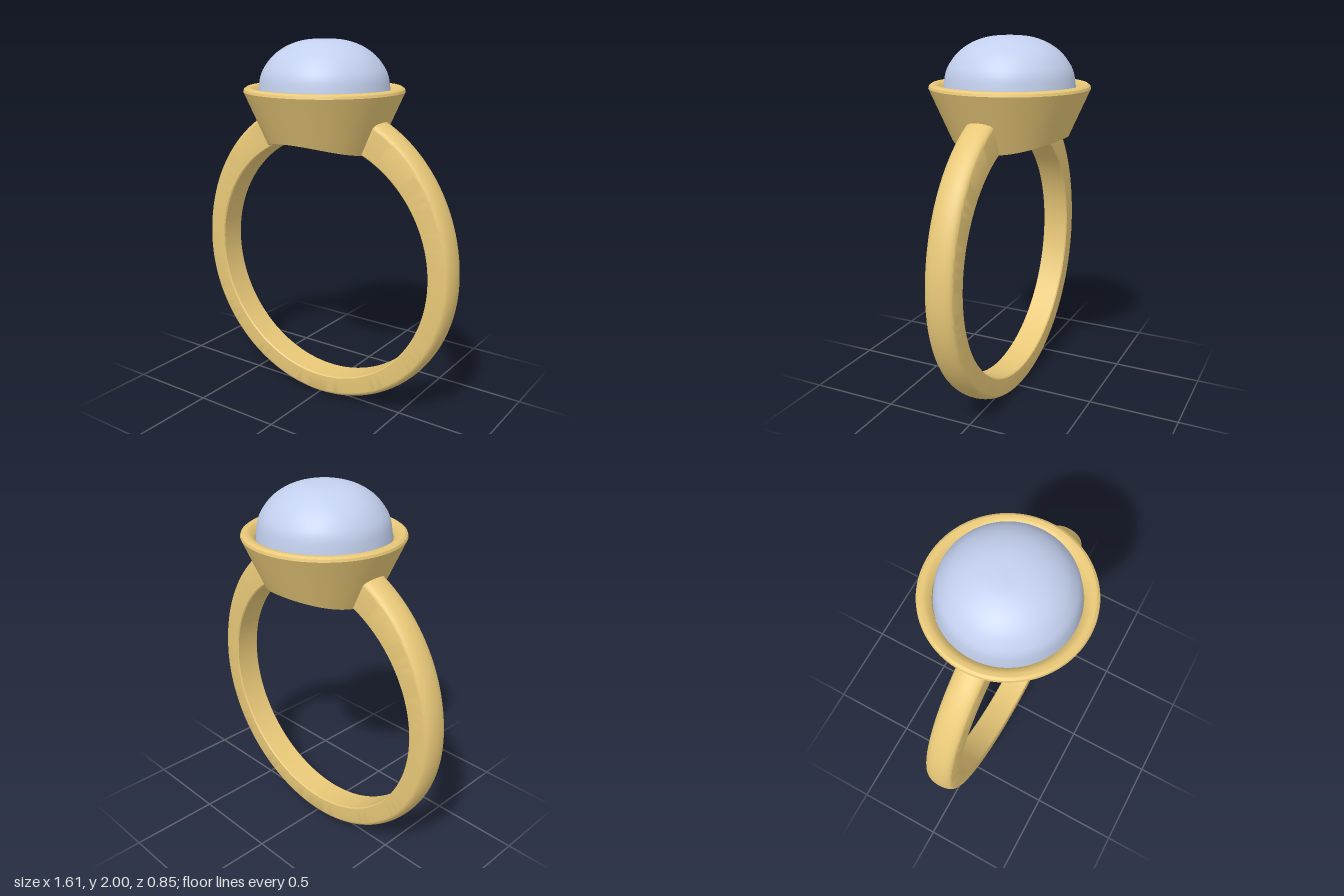
import * as THREE from 'three';
import { toCreasedNormals } from 'three/addons/utils/BufferGeometryUtils.js';

const CENTRE = 0.81, BORE = 0.68, HALF_WIDTH = 0.077;
const gold = new THREE.MeshStandardMaterial({ color: 0xe8c878, side: THREE.DoubleSide });
const blue = new THREE.MeshStandardMaterial({ color: 0xc3d0ee });

function part(name, geometry, material) {
  const mesh = new THREE.Mesh(geometry, material);
  mesh.name = name;
  return mesh;
}

// Band: flat bore, domed outside, thickening towards the setting
function bandGeometry() {
  const steps = 160, dome = 16, gap = 0.39;
  const start = Math.PI / 2 + gap, sweep = 2 * Math.PI - 2 * gap;
  const positions = [], index = [];
  let count = 0;
  for (let i = 0; i <= steps; i++) {
    const t = start + (sweep * i) / steps;
    const lift = Math.max(0, Math.sin(t));
    const outer = 0.807 + 0.073 * lift * lift;
    const section = [];
    for (let k = 0; k <= dome; k++) {
      const a = (Math.PI * k) / dome;
      section.push([HALF_WIDTH * Math.cos(a), outer - 0.035 + 0.035 * Math.sin(a)]);
    }
    section.push([-HALF_WIDTH, BORE + 0.006], [-HALF_WIDTH + 0.006, BORE],
      [HALF_WIDTH - 0.006, BORE], [HALF_WIDTH, BORE + 0.006]);
    count = section.length;
    for (const [z, r] of section) positions.push(r * Math.cos(t), CENTRE + r * Math.sin(t), z);
  }
  for (let i = 0; i < steps; i++) {
    for (let j = 0; j < count; j++) {
      const a = i * count + j, b = i * count + ((j + 1) % count);
      index.push(a, b, a + count, b, b + count, a + count);
    }
  }
  const geometry = new THREE.BufferGeometry();
  geometry.setAttribute('position', new THREE.Float32BufferAttribute(positions, 3));
  geometry.setIndex(index);
  return toCreasedNormals(geometry, 0.6);
}

// Bezel: hollow flared cup whose underside is cut to follow the bore
function bezelGeometry() {
  const outerAt = y => 0.425 - 0.44 * (1.735 - y);
  const innerAt = y => 0.22 + 0.44 * (y - 1.487);
  const profile = [
    [0.3, 1.45], [0.425, 1.735], [0.421, 1.748], [0.408, 1.757], [0.39, 1.757], [0.372, 1.75],
    [0.352, 1.725], [0.35, 1.63], [innerAt(1.63), 1.63], [0.22, 1.487], [0.26, 1.47], [0.3, 1.45],
  ].map(p => new THREE.Vector2(...p));
  const geometry = new THREE.LatheGeometry(profile, 128);
  const pos = geometry.attributes.position, n = profile.length;
  for (let i = 0; i < pos.count; i++) {
    const k = i % n;
    if (k > 0 && k < 9) continue;
    const theta = Math.atan2(pos.getZ(i), pos.getX(i));
    let r = 0.26, y = 1.46;
    // slide each lower point along its wall until it meets the bore
    for (let pass = 0; pass < 8; pass++) {
      r = k === 9 ? innerAt(y) : k === 10 ? (innerAt(y) + outerAt(y)) / 2 : outerAt(y);
      y = CENTRE + Math.sqrt(BORE * BORE - (r * Math.cos(theta)) ** 2);
    }
    pos.setXYZ(i, r * Math.cos(theta), y, r * Math.sin(theta));
  }
  return toCreasedNormals(geometry, 0.55);
}

// Stone: flat-bottomed cabochon with a smooth, slightly flattened dome
function stoneGeometry() {
  const dome = new THREE.SplineCurve([
    [0.35, 1.7], [0.344, 1.757], [0.333, 1.815], [0.31, 1.862], [0.265, 1.917],
    [0.2, 1.962], [0.127, 1.989], [0.06, 1.999], [0, 2],
  ].map(p => new THREE.Vector2(...p))).getPoints(40);
  dome[dome.length - 1].x = 0;
  const base = [new THREE.Vector2(0, 1.63), new THREE.Vector2(0.348, 1.63)];
  return toCreasedNormals(new THREE.LatheGeometry([...base, ...dome], 96), 0.6);
}

export function createModel() {
  const ring = new THREE.Group();
  ring.name = 'ring';
  ring.add(
    part('band', bandGeometry(), gold),
    part('bezel', bezelGeometry(), gold),
    part('stone', stoneGeometry(), blue),
  );
  return ring;
}
